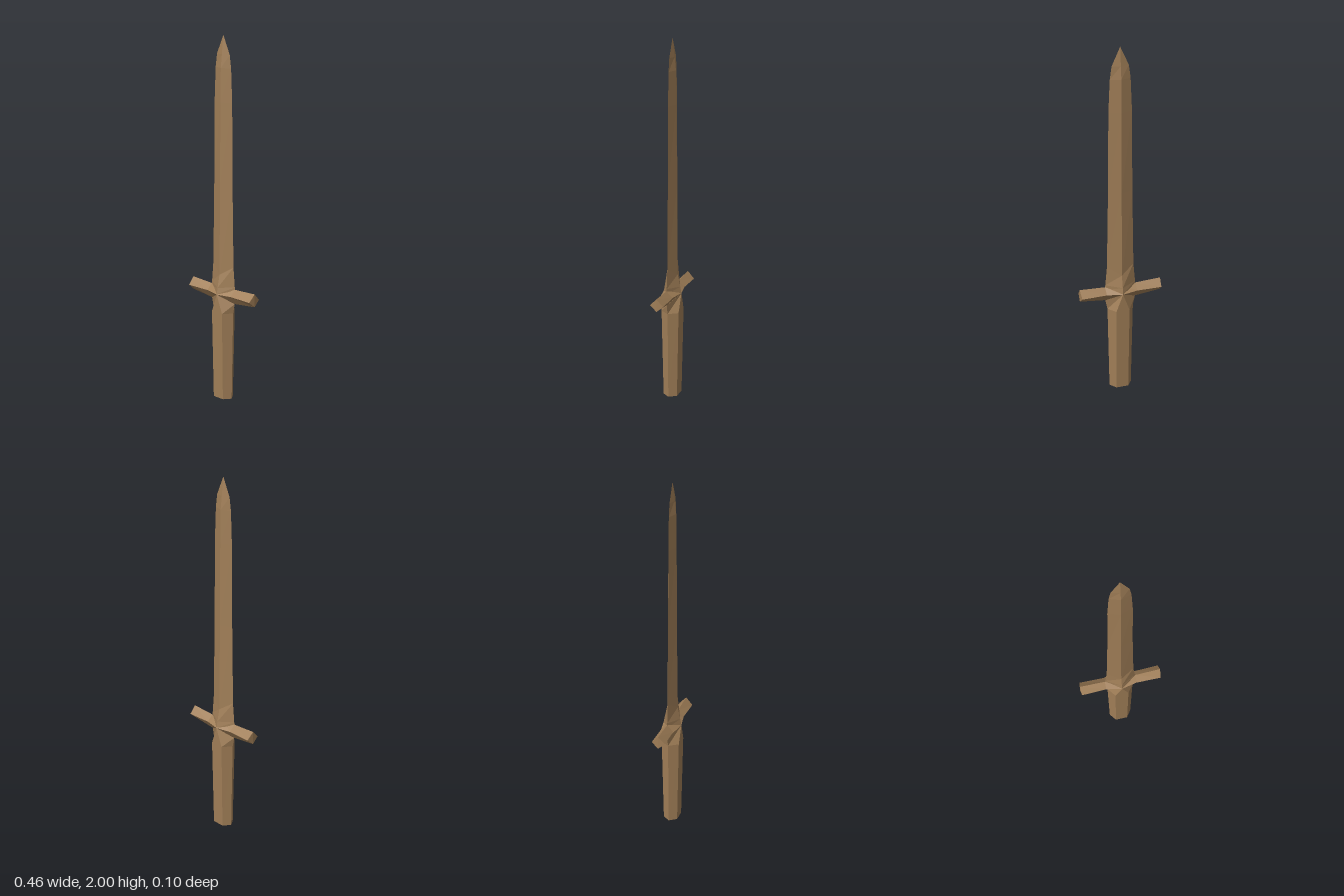
import * as THREE from 'three';

const wood = new THREE.MeshStandardMaterial({ color: 0xa07e57, flatShading: true });
wood.name = 'tan wood';

// Skins a list of equal-length rings (counter-clockwise about the loft direction), with end caps
function loft(name, rings) {
  const pos = [];
  const tri = (a, b, c) => pos.push(...a, ...b, ...c);
  const n = rings[0].length;
  for (let r = 0; r < rings.length - 1; r++) {
    const a = rings[r], b = rings[r + 1];
    for (let i = 0; i < n; i++) {
      const j = (i + 1) % n;
      tri(a[i], a[j], b[j]);
      tri(a[i], b[j], b[i]);
    }
  }
  const first = rings[0], last = rings[rings.length - 1];
  for (let i = 1; i < n - 1; i++) {
    tri(first[0], first[i + 1], first[i]);
    tri(last[0], last[i], last[i + 1]);
  }
  const geo = new THREE.BufferGeometry();
  geo.setAttribute('position', new THREE.Float32BufferAttribute(pos, 3));
  geo.computeVertexNormals();
  const mesh = new THREE.Mesh(geo, wood);
  mesh.name = name;
  return mesh;
}

// Blade section: diamond with cutting edges at height ye and ridges at height yr
const bladeRing = (w, ye, d, yr = ye) =>
  [[w, ye, 0], [0, yr, -d], [-w, ye, 0], [0, yr, d]];

// Grip section: hexagon with flat front and back of half width f
const gripRing = (w, ye, f, d, yf = ye) =>
  [[w, ye, 0], [f, yf, -d], [-f, yf, -d], [-w, ye, 0], [-f, yf, d], [f, yf, d]];

// Guard section: diamond across x, side corners at xs
const guardRing = (x, top, mid, bottom, d, xs = x) =>
  [[x, top, 0], [xs, mid, d], [x, bottom, 0], [xs, mid, -d]];

export function createModel() {
  const sword = new THREE.Group();
  sword.name = 'sword';

  sword.add(loft('blade', [
    bladeRing(0.088, 0.62, 0.051, 0.605),
    bladeRing(0.086, 0.65, 0.045, 0.64),
    bladeRing(0.076, 0.76, 0.03, 0.71),
    bladeRing(0.068, 1.2, 0.025),
    bladeRing(0.064, 1.65, 0.022),
    bladeRing(0.056, 1.83, 0.019),
    bladeRing(0.046, 1.9, 0.011),
    bladeRing(0, 2, 0),
  ]));

  // Crossguard flaring at the centre, with slightly pointed ends
  sword.add(loft('crossguard', [
    guardRing(-0.232, 0.645, 0.605, 0.573, 0.038, -0.228),
    guardRing(-0.088, 0.638, 0.605, 0.557, 0.035),
    guardRing(0, 0.642, 0.603, 0.55, 0.052),
    guardRing(0.088, 0.638, 0.605, 0.557, 0.035),
    guardRing(0.232, 0.645, 0.605, 0.573, 0.038, 0.228),
  ]));

  // Hexagonal grip whose top facets gather to a point on the guard
  sword.add(loft('grip', [
    gripRing(0.064, 0, 0.035, 0.04),
    gripRing(0.074, 0.5, 0.038, 0.05),
    gripRing(0.086, 0.556, 0, 0.052, 0.603),
  ]));

  return sword;
}
